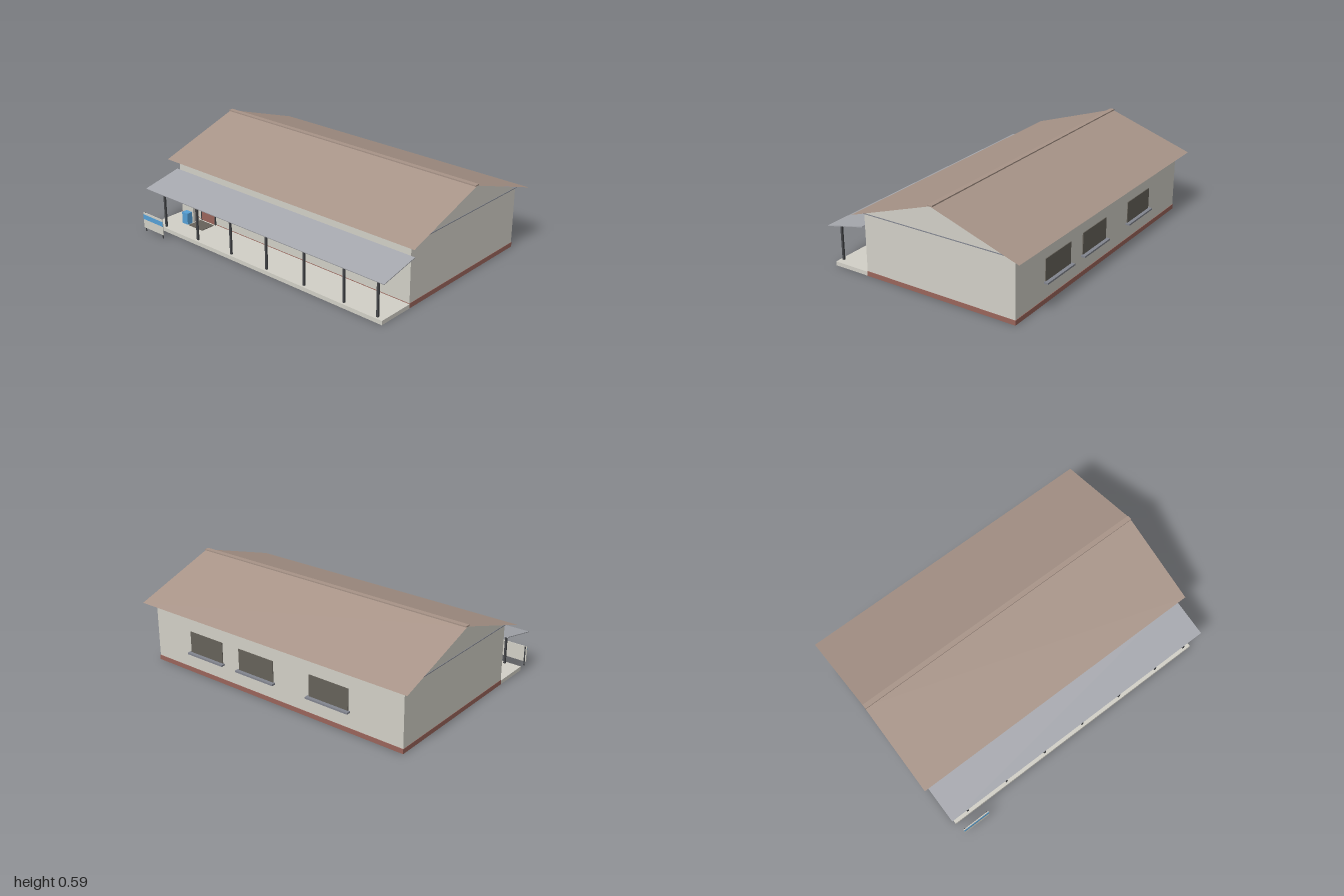
import * as THREE from 'three';

const mat = (name, color, side = THREE.FrontSide) => {
  const m = new THREE.MeshStandardMaterial({ color, side });
  m.name = name;
  return m;
};

export function createModel() {
  const root = new THREE.Group();
  root.name = 'house';
  const wall = mat('plaster', 0xd2d0c7, THREE.DoubleSide);
  const red = mat('brickRed', 0x9a655b);
  const tile = mat('roofBrown', 0xa89488, THREE.DoubleSide);
  const tin = mat('porchGrey', 0xa6a8ae);
  const dark = mat('darkMetal', 0x434548);
  const glass = mat('glass', 0xa3abae);
  const shade = mat('darkWindow', 0x66625a);
  const blue = mat('blue', 0x55a0d6);
  const slate = mat('slate', 0x82858f);

  // Box given by its limits on each axis
  const box = (name, m, x0, x1, y0, y1, z0, z1, parent = root) => {
    const mesh = new THREE.Mesh(new THREE.BoxGeometry(x1 - x0, y1 - y0, z1 - z0), m);
    mesh.position.set((x0 + x1) / 2, (y0 + y1) / 2, (z0 + z1) / 2);
    mesh.name = name;
    parent.add(mesh);
    return mesh;
  };
  const group = (name) => {
    const g = new THREE.Group();
    g.name = name;
    root.add(g);
    return g;
  };
  // Sloping sheet running along x between two (y, z) edges
  const sheet = (name, m, halfX, y0, z0, y1, z1, thick) => {
    const run = Math.hypot(y1 - y0, z1 - z0);
    const geo = thick ? new THREE.BoxGeometry(halfX * 2, thick, run)
      : new THREE.PlaneGeometry(halfX * 2, run).rotateX(-Math.PI / 2);
    const mesh = new THREE.Mesh(geo, m);
    mesh.rotation.x = -Math.atan2(y1 - y0, z1 - z0);
    mesh.position.set(0, (y0 + y1) / 2, (z0 + z1) / 2);
    mesh.name = name;
    root.add(mesh);
  };

  // Walls, plinth, eaves line
  box('walls', wall, -0.943, 0.943, 0.03, 0.395, -0.653, 0.38);
  box('plinth', red, -0.945, 0.945, 0, 0.03, -0.656, 0.381);
  box('eavesBand', slate, -0.946, 0.946, 0.393, 0.398, -0.664, 0.388);

  // Gable ends
  const tri = new THREE.Shape([[-0.375, 0.397], [0.655, 0.397], [0.14, 0.58]]
    .map(([x, y]) => new THREE.Vector2(x, y)));
  for (const s of [-1, 1]) {
    const gable = new THREE.Mesh(new THREE.ShapeGeometry(tri), wall);
    gable.rotation.y = Math.PI / 2;
    gable.position.x = s * 0.943;
    gable.name = 'gable';
    root.add(gable);
  }

  // Main roof and ridge cap
  sheet('frontRoof', tile, 1, 0.395, 0.43, 0.586, -0.143);
  sheet('backRoof', tile, 1, 0.395, -0.715, 0.586, -0.143);
  box('ridgeCap', tile, -1, 1, 0.584, 0.592, -0.158, -0.127);

  // Porch: floor, roof, posts
  box('porchFloor', wall, -0.945, 0.945, 0, 0.026, 0.381, 0.625);
  sheet('porchRoof', tin, 0.97, 0.263, 0.645, 0.321, 0.38, 0.005);
  for (const x of [-0.84, -0.54, -0.24, 0.06, 0.36, 0.66, 0.9])
    box('porchPost', dark, x - 0.006, x + 0.006, 0.026, 0.268, 0.599, 0.611);

  // Front windows with frame and grille
  for (const [x0, x1] of [[-0.575, -0.3], [0.375, 0.655]]) {
    const g = group('frontWindow');
    const y0 = 0.125, y1 = 0.28;
    box('pane', glass, x0, x1, y0, y1, 0.38, 0.383, g);
    for (let i = 0; i <= 4; i++) {
      const x = x0 + (x1 - x0 - 0.007) * i / 4;
      box('verticalBar', dark, x, x + 0.007, y0, y1, 0.383, 0.389, g);
    }
    for (let i = 0; i <= 5; i++) {
      const y = y0 + (y1 - y0 - 0.005) * i / 5;
      box('horizontalBar', dark, x0, x1, y, y + 0.005, 0.384, 0.39, g);
    }
    box('sill', slate, x0 - 0.01, x1 + 0.01, 0.117, 0.127, 0.38, 0.403, g);
  }

  // Brown frame on the front wall
  const frame = group('wallFrame');
  for (const x of [-0.295, -0.196, -0.097])
    box('upright', tile, x, x + 0.011, 0.12, 0.257, 0.38, 0.388, frame);
  for (const y of [0.12, 0.185, 0.246])
    box('rail', tile, -0.295, -0.086, y, y + 0.011, 0.38, 0.387, frame);

  // Door
  const door = group('door');
  box('lowerPanel', red, -0.745, -0.62, 0.026, 0.147, 0.38, 0.386, door);
  box('upperGlass', glass, -0.745, -0.62, 0.147, 0.27, 0.38, 0.385, door);
  box('notice', wall, -0.697, -0.67, 0.182, 0.226, 0.385, 0.387, door);
  for (const x of [-0.75, -0.622])
    box('jamb', dark, x, x + 0.006, 0.026, 0.27, 0.38, 0.389, door);
  box('doormat', shade, -0.745, -0.62, 0.026, 0.03, 0.4, 0.5);

  // Wall panel and small lamps under the porch roof
  box('wallPanel', slate, -0.01, 0.32, 0.237, 0.283, 0.38, 0.387);
  box('lamp', dark, -0.85, -0.78, 0.254, 0.264, 0.46, 0.48);
  for (const x of [0.115, 0.835])
    box('lamp', dark, x, x + 0.008, 0.252, 0.27, 0.46, 0.475);

  // Porch boxes
  box('paleCabinet', wall, -0.805, -0.755, 0.026, 0.14, 0.402, 0.45);
  box('blueBin', blue, -0.805, -0.755, 0.026, 0.103, 0.46, 0.5);

  // Free-standing board
  const board = group('board');
  box('boardPanel', wall, -0.937, -0.752, 0.026, 0.13, 0.702, 0.707, board);
  box('boardStripe', blue, -0.937, -0.752, 0.085, 0.117, 0.707, 0.709, board);
  for (const x of [-0.93, -0.766])
    box('boardLeg', dark, x, x + 0.007, 0, 0.13, 0.698, 0.702, board);

  // Back windows with sills
  for (const [x0, x1] of [[0.385, 0.65], [-0.02, 0.25], [-0.57, -0.29]]) {
    box('backWindow', shade, x0, x1, 0.135, 0.275, -0.658, -0.653);
    box('backSill', slate, x0 - 0.012, x1 + 0.012, 0.127, 0.138, -0.68, -0.653);
  }
  return root;
}
